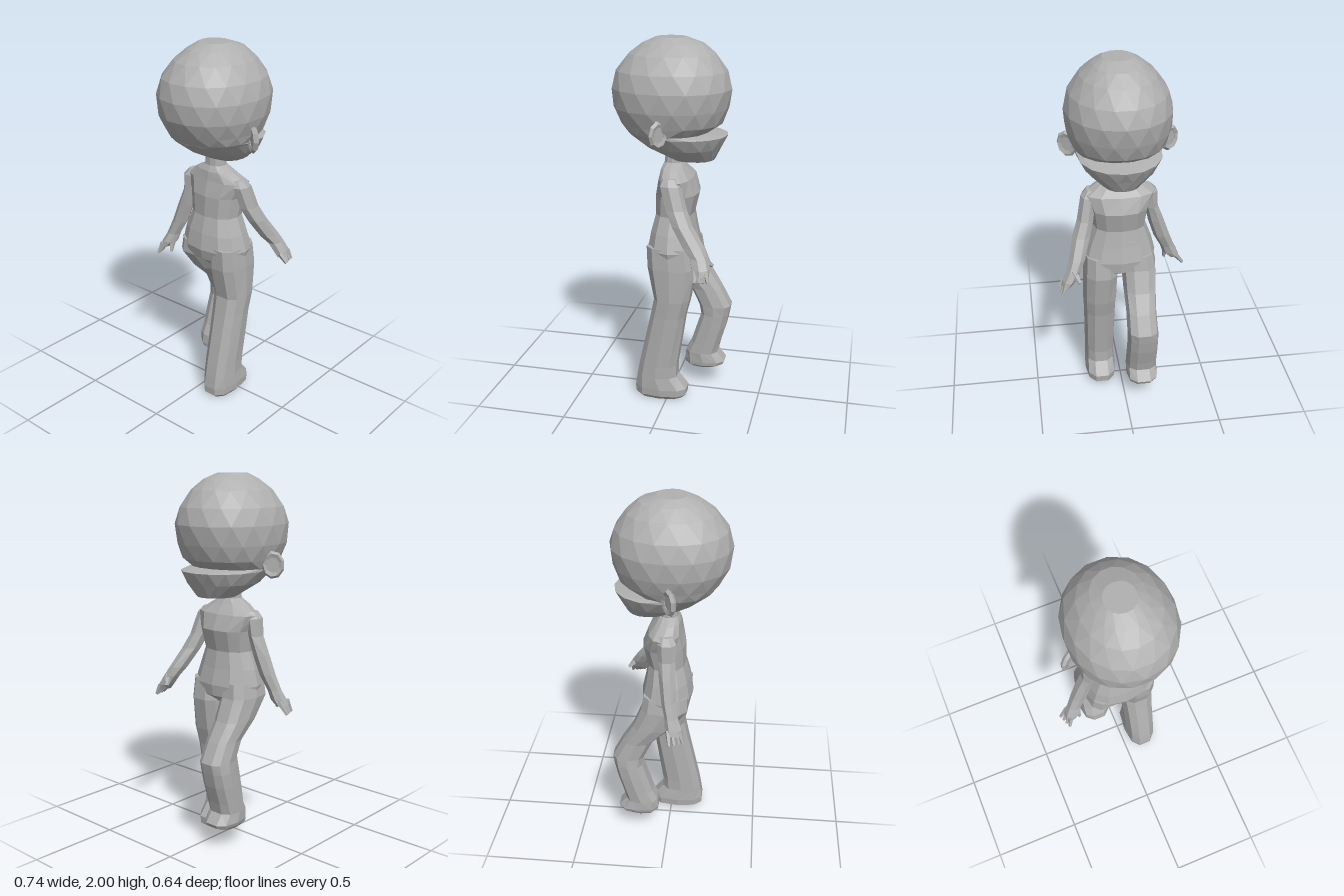
import * as THREE from 'three';

const skin = new THREE.MeshStandardMaterial({ color: 0xb0b0b0, flatShading: true });
skin.name = 'plain grey';

// Closed skin over horizontal sections, listed top to bottom as [y, xMin, xMax, zMin, zMax].
function loft(name, sections, sides, { power = 1, stagger = false } = {}) {
  const pos = [], index = [];
  const bend = (v) => Math.sign(v) * Math.abs(v) ** power;
  sections.forEach(([y, x0, x1, z0, z1], i) => {
    for (let j = 0; j < sides; j++) {
      const a = ((j + (stagger && i % 2 ? 0.5 : 0)) / sides) * Math.PI * 2;
      pos.push((x0 + x1) / 2 + bend(Math.cos(a)) * (x1 - x0) / 2, y,
        (z0 + z1) / 2 + bend(Math.sin(a)) * (z1 - z0) / 2);
    }
  });
  const last = sections.length - 1;
  for (const [y, x0, x1, z0, z1] of [sections[0], sections[last]]) pos.push((x0 + x1) / 2, y, (z0 + z1) / 2);
  const top = sections.length * sides;
  for (let j = 0; j < sides; j++) {
    const k = (j + 1) % sides;
    for (let i = 0; i < last; i++) {
      const A = i * sides + j, B = i * sides + k, C = A + sides, D = B + sides;
      if (i % 2) index.push(A, B, D, A, D, C);
      else index.push(A, B, C, B, D, C);
    }
    index.push(top, k, j, top + 1, last * sides + j, last * sides + k);
  }
  const geo = new THREE.BufferGeometry();
  geo.setAttribute('position', new THREE.Float32BufferAttribute(pos, 3));
  geo.setIndex(index);
  return mesh(name, geo);
}

function mesh(name, geo) {
  const flat = geo.index ? geo.toNonIndexed() : geo;
  flat.computeVertexNormals();
  const m = new THREE.Mesh(flat, skin);
  m.name = name;
  return m;
}

// Tapered finger between two points
function finger(name, from, to, r0, r1) {
  const a = new THREE.Vector3(...from), b = new THREE.Vector3(...to);
  const dir = b.clone().sub(a);
  const m = mesh(name, new THREE.CylinderGeometry(r1, r0, dir.length(), 5));
  m.position.copy(a).add(b).multiplyScalar(0.5);
  m.quaternion.setFromUnitVectors(new THREE.Vector3(0, 1, 0), dir.normalize());
  return m;
}

// Cupped ear: a rim around a thin bowl, swept backwards
function ear(name, side) {
  const g = new THREE.Group();
  g.name = name;
  const rim = mesh('earRim', new THREE.TorusGeometry(0.046, 0.015, 5, 9));
  const bowl = mesh('earBowl', new THREE.CylinderGeometry(0.045, 0.04, 0.012, 9));
  bowl.rotation.x = Math.PI / 2;
  g.add(rim, bowl);
  g.position.set(0.005 + side * 0.268, 1.538, 0.02);
  g.rotation.y = -side * 0.6;
  g.scale.y = 1.2;
  return g;
}

export function createModel() {
  const model = new THREE.Group();
  model.name = 'figure';

  // Head, with the jaw ledge on the -z side
  model.add(loft('head', [
    [2.0, -0.07, 0.09, -0.07, 0.09],
    [1.97, -0.12, 0.14, -0.16, 0.16],
    [1.915, -0.185, 0.205, -0.225, 0.235],
    [1.83, -0.245, 0.265, -0.285, 0.3],
    [1.74, -0.27, 0.29, -0.312, 0.325],
    [1.64, -0.265, 0.285, -0.295, 0.315],
    [1.56, -0.24, 0.26, -0.265, 0.275],
    [1.515, -0.22, 0.24, -0.195, 0.24],
    [1.5, -0.215, 0.235, -0.295, 0.23],
    [1.435, -0.175, 0.195, -0.262, 0.14],
    [1.365, -0.09, 0.11, -0.225, 0.0],
  ], 16, { power: 0.95, stagger: true }));
  model.add(ear('leftEar', 1), ear('rightEar', -1));

  // Neck, trunk and hips
  model.add(loft('torso', [
    [1.42, -0.045, 0.06, -0.055, 0.04],
    [1.345, -0.052, 0.065, -0.055, 0.045],
    [1.315, -0.11, 0.125, -0.075, 0.06],
    [1.265, -0.185, 0.2, -0.115, 0.067],
    [1.18, -0.15, 0.165, -0.147, 0.088],
    [1.065, -0.135, 0.15, -0.12, 0.09],
    [0.97, -0.17, 0.187, -0.135, 0.115],
    [0.88, -0.192, 0.215, -0.155, 0.13],
    [0.82, -0.18, 0.2, -0.15, 0.115],
    [0.77, -0.05, 0.07, -0.08, 0.05],
  ], 12, { power: 0.85 }));

  // Arms: one swings towards -z, the other slightly towards +z
  model.add(loft('leftArm', [
    [1.285, 0.14, 0.185, -0.05, 0.025],
    [1.25, 0.13, 0.215, -0.08, 0.04],
    [1.13, 0.15, 0.24, -0.115, 0.005],
    [1.05, 0.172, 0.27, -0.152, -0.035],
    [0.95, 0.21, 0.297, -0.222, -0.1],
    [0.9, 0.235, 0.315, -0.247, -0.145],
    [0.85, 0.265, 0.34, -0.262, -0.16],
    [0.82, 0.29, 0.348, -0.26, -0.168],
  ], 7));
  model.add(loft('rightArm', [
    [1.285, -0.17, -0.125, -0.04, 0.03],
    [1.25, -0.202, -0.115, -0.055, 0.05],
    [1.155, -0.207, -0.135, -0.05, 0.047],
    [1.06, -0.245, -0.155, -0.04, 0.05],
    [0.95, -0.283, -0.19, -0.025, 0.057],
    [0.87, -0.312, -0.232, -0.005, 0.068],
    [0.82, -0.335, -0.248, 0.0, 0.09],
    [0.79, -0.345, -0.28, 0.008, 0.095],
  ], 7));

  // Fingers fan across each palm; the thumb points inwards
  for (let i = 0; i < 4; i++) {
    const t = i / 3;
    model.add(finger('leftFinger', [0.32, 0.84, -0.182 - 0.062 * t],
      [0.36 - 0.02 * t, 0.79, -0.19 - 0.068 * t], 0.017, 0.009));
    model.add(finger('rightFinger', [-0.315, 0.81, 0.02 + 0.06 * t],
      [-0.363 + 0.03 * t, 0.745, 0.03 + 0.072 * t], 0.017, 0.009));
  }
  model.add(finger('leftThumb', [0.28, 0.9, -0.22], [0.25, 0.855, -0.267], 0.022, 0.01));
  model.add(finger('rightThumb', [-0.268, 0.84, 0.05], [-0.263, 0.765, 0.072], 0.022, 0.009));

  // Standing leg with its foot
  model.add(loft('leftLeg', [
    [0.9, 0.02, 0.205, -0.14, 0.12],
    [0.78, 0.015, 0.212, -0.155, 0.115],
    [0.6, 0.025, 0.215, -0.125, 0.078],
    [0.5, 0.03, 0.21, -0.1, 0.098],
    [0.2, 0.035, 0.205, -0.055, 0.165],
    [0.13, 0.035, 0.205, -0.055, 0.178],
    [0.06, 0.03, 0.208, -0.112, 0.19],
    [0.02, 0.033, 0.205, -0.108, 0.188],
    [0, 0.06, 0.19, -0.08, 0.165],
  ], 10, { power: 0.75 }));

  // Raised leg, knee bent towards -z
  model.add(loft('rightLeg', [
    [0.9, -0.18, 0.0, -0.14, 0.11],
    [0.82, -0.195, -0.002, -0.152, 0.112],
    [0.7, -0.19, -0.005, -0.2, 0.02],
    [0.6, -0.178, -0.01, -0.262, -0.085],
    [0.495, -0.182, -0.01, -0.317, -0.135],
    [0.44, -0.188, -0.012, -0.307, -0.145],
    [0.36, -0.19, -0.012, -0.29, -0.12],
    [0.26, -0.19, -0.012, -0.26, -0.088],
    [0.2, -0.19, -0.012, -0.246, -0.058],
    [0.145, -0.192, -0.012, -0.29, -0.052],
    [0.125, -0.185, -0.015, -0.28, -0.055],
    [0.108, -0.17, -0.035, -0.24, -0.08],
  ], 10, { power: 0.75 }));

  return model;
}
